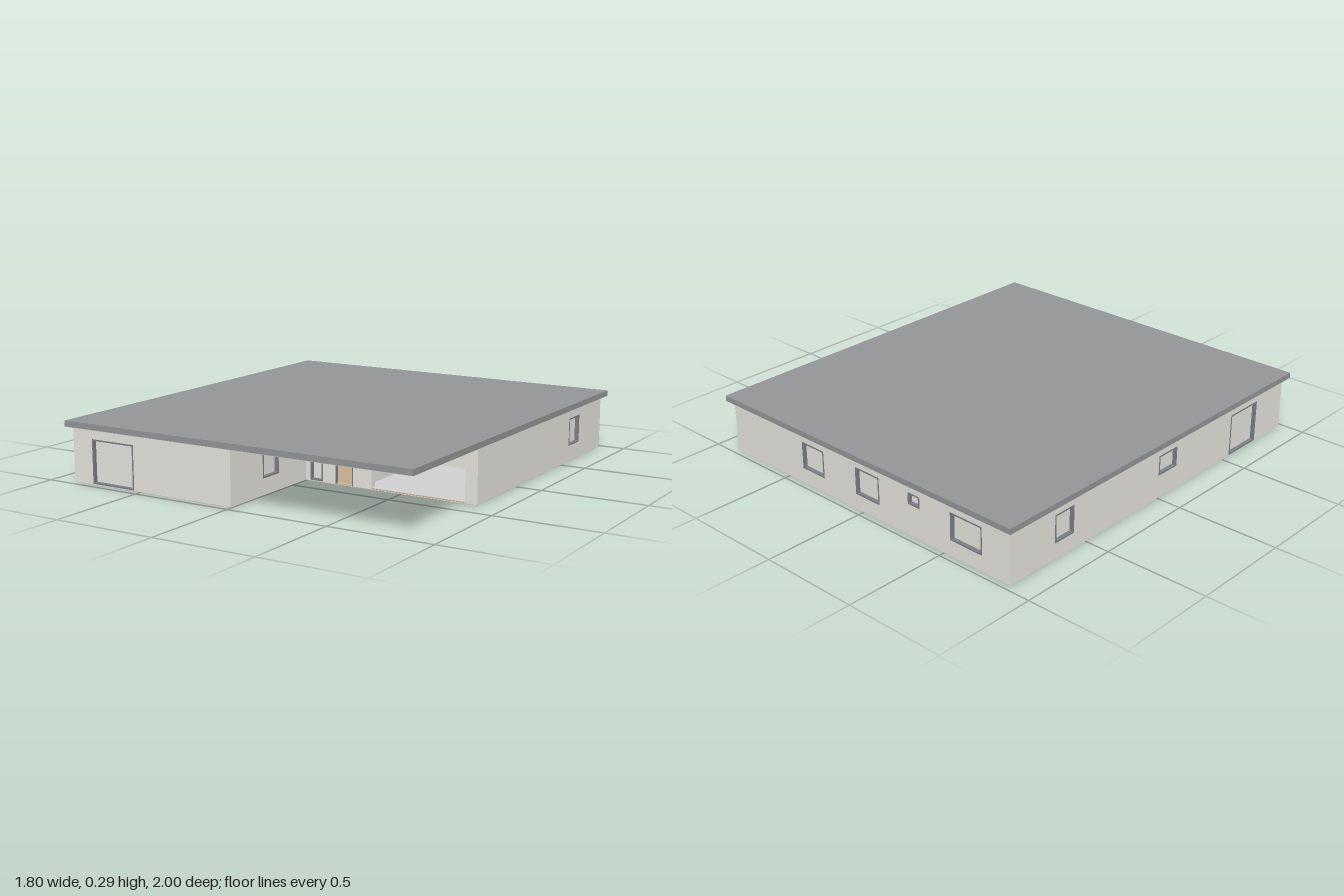
import * as THREE from 'three';

const mat = (name, color) => {
  const m = new THREE.MeshStandardMaterial({ color });
  m.name = name;
  return m;
};

export function createModel() {
  const M = {
    wall: mat('wall plaster', 0xe6e4de),
    roof: mat('roof grey', 0x939596),
    soffit: mat('soffit grey', 0xc9c9c8),
    frame: mat('frame grey', 0x7b8085),
    door: mat('door wood', 0xddc2a2),
    floor: mat('wood floor', 0xcdb498),
    tile: mat('tile floor', 0xd0d0d0),
  };
  const model = new THREE.Group();
  model.name = 'house';
  const BASE = 0.022, TOP = 0.28, T = 0.03;

  // Box given by its limits on each axis
  const box = (parent, name, m, x0, x1, y0, y1, z0, z1) => {
    const mesh = new THREE.Mesh(new THREE.BoxGeometry(x1 - x0, y1 - y0, z1 - z0), m);
    mesh.position.set((x0 + x1) / 2, (y0 + y1) / 2, (z0 + z1) / 2);
    mesh.name = name;
    parent.add(mesh);
  };

  // Thin frame and set-back panel filling one wall opening
  const fillOpening = (parent, [u0, u1, y0, y1, kind]) => {
    if (kind === 'open') return;
    const g = new THREE.Group();
    g.name = kind;
    const isDoor = kind === 'door';
    const w = isDoor ? 0.003 : 0.007, back = -0.022, front = 0.001;
    box(g, 'panel', isDoor ? M.door : M.wall, u0, u1, y0, y1, -0.026, -0.018);
    box(g, 'frameSide', M.frame, u0, u0 + w, y0, y1, back, front);
    box(g, 'frameSide', M.frame, u1 - w, u1, y0, y1, back, front);
    box(g, 'frameTop', M.frame, u0, u1, y1 - w, y1, back, front);
    if (!isDoor) box(g, 'frameSill', M.frame, u0, u1, y0, y0 + w, back, front);
    parent.add(g);
  };

  // Wall seen from outside: u runs to the right, outer face at distance d
  const wall = (name, turn, d, u0, u1, openings) => {
    const g = new THREE.Group();
    g.name = name;
    const shape = new THREE.Shape();
    shape.moveTo(u0, BASE).lineTo(u1, BASE).lineTo(u1, TOP).lineTo(u0, TOP).closePath();
    for (const [a, b, y0, y1] of openings) {
      const hole = new THREE.Path();
      hole.moveTo(a, y0).lineTo(a, y1).lineTo(b, y1).lineTo(b, y0).closePath();
      shape.holes.push(hole);
    }
    const geo = new THREE.ExtrudeGeometry(shape, { depth: T, bevelEnabled: false });
    geo.translate(0, 0, -T);
    const mesh = new THREE.Mesh(geo, M.wall);
    mesh.name = 'wallPanel';
    g.add(mesh);
    openings.forEach((o) => fillOpening(g, o));
    g.rotation.y = turn;
    g.position.set(Math.sin(turn) * d, 0, Math.cos(turn) * d);
    model.add(g);
  };

  const X = 0.877, Z = 0.972, ZR = 0.39, Q = Math.PI / 2;
  wall('frontWall', 0, Z, -X, 0, [[-0.767, -0.53, 0.025, 0.232, 'window']]);
  wall('entryWall', 0, ZR, -T, X, [
    [0.026, 0.093, 0.025, 0.232, 'window'],
    [0.16, 0.252, 0.0225, 0.222, 'door'],
    [0.35, 0.818, 0.0225, 0.234, 'open'],
  ]);
  wall('backWall', Math.PI, Z, -X, X, [
    [-0.395, -0.25, 0.098, 0.232, 'window'],
    [-0.04, 0.11, 0.098, 0.232, 'window'],
    [0.29, 0.36, 0.175, 0.232, 'window'],
    [0.54, 0.72, 0.098, 0.232, 'window'],
  ]);
  wall('leftWall', Q, X, -ZR, Z, [[0.583, 0.703, 0.098, 0.232, 'window']]);
  wall('porchWall', Q, 0, -Z, -ZR, [[-0.732, -0.61, 0.098, 0.232, 'window']]);
  wall('rightWall', -Q, X, -Z, Z, [
    [-0.7, -0.58, 0.098, 0.232, 'window'],
    [0, 0.13, 0.135, 0.232, 'window'],
    [0.55, 0.76, 0.025, 0.232, 'window'],
  ]);

  // Open garage room with an inner door
  box(model, 'garageBackWall', M.wall, 0.28, X - T, 0.025, TOP, -0.19, -0.165);
  box(model, 'garageSideWall', M.wall, 0.28, 0.305, 0.025, TOP, -0.165, ZR - T);
  box(model, 'garageFloor', M.tile, 0.305, X - T, 0.022, 0.028, -0.165, ZR - 0.004);
  box(model, 'garageDoor', M.door, 0.77, 0.845, 0.028, 0.213, -0.165, -0.158);
  box(model, 'garageDoorHead', M.frame, 0.766, 0.847, 0.213, 0.217, -0.165, -0.157);

  // L-shaped floor slab
  const e = 0.002;
  const plan = new THREE.Shape();
  plan.moveTo(-X + e, -Z + e).lineTo(X - e, -Z + e).lineTo(X - e, ZR - e)
    .lineTo(-e, ZR - e).lineTo(-e, Z - e).lineTo(-X + e, Z - e).closePath();
  const slabGeo = new THREE.ExtrudeGeometry(plan, { depth: 0.006, bevelEnabled: false });
  slabGeo.rotateX(Q);
  const slab = new THREE.Mesh(slabGeo, M.floor);
  slab.name = 'floorSlab';
  slab.position.y = 0.0265;
  model.add(slab);

  // Tiled areas on the underside: x0, x1, z0, z1
  const tiles = [
    [0.09, X - e, -0.165, ZR - e],
    [0.42, 0.63, -0.62, -0.32],
    [-X + e, -0.28, -0.19, 0.39],
    [-0.265, -0.1, -0.66, -0.3],
    [-0.43, -0.265, -0.94, -0.45],
    [-0.28, -0.265, -0.45, -0.3],
  ];
  for (const [x0, x1, z0, z1] of tiles) box(model, 'tiledFloor', M.tile, x0, x1, 0.0193, 0.022, z0, z1);

  // Flat overhanging roof with a pale underside
  box(model, 'roof', M.roof, -0.902, 0.902, 0.281, 0.308, -1, 1);
  box(model, 'soffit', M.soffit, -0.901, 0.901, 0.279, 0.282, -0.999, 0.999);
  return model;
}
